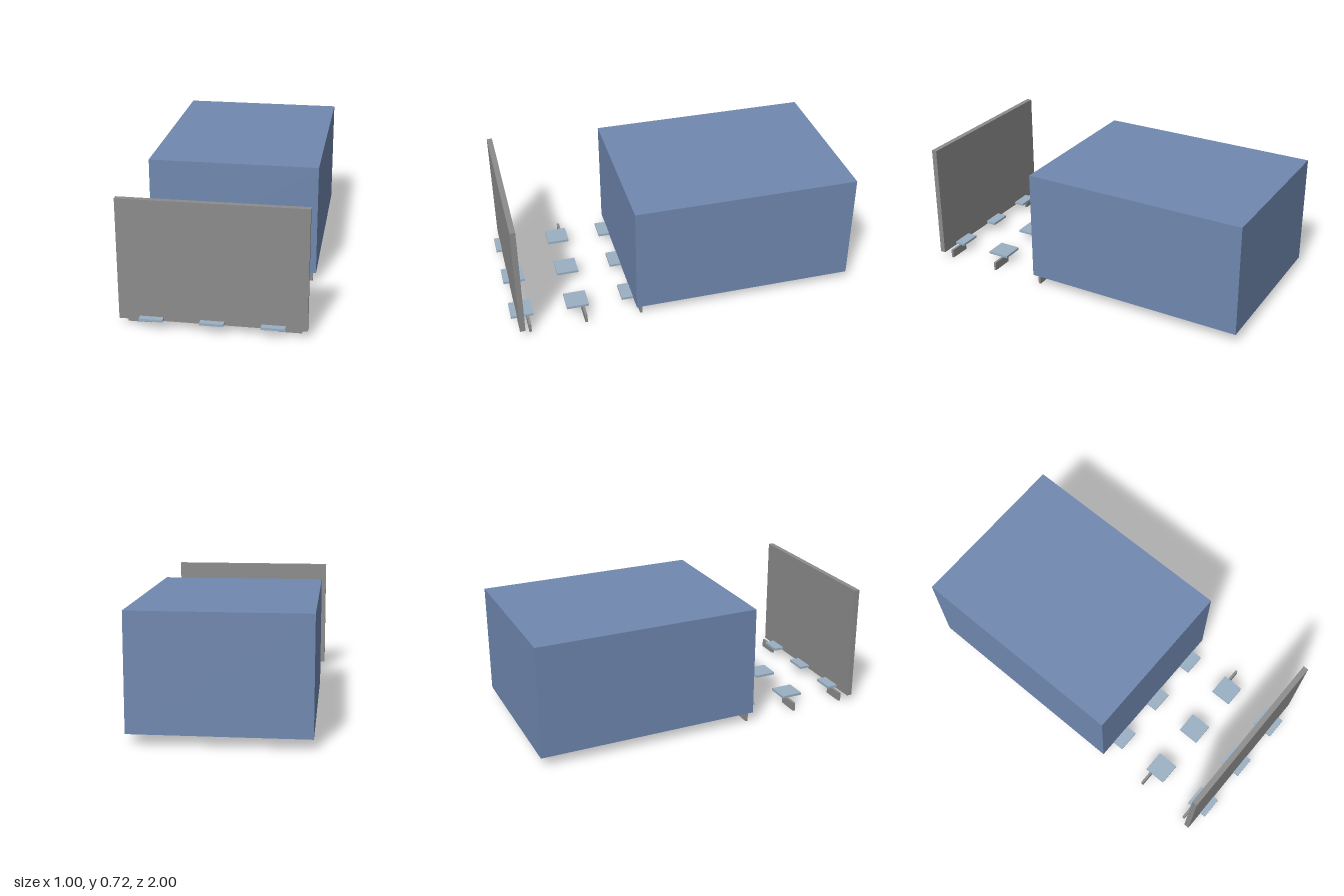
import * as THREE from 'three';

const paint = (name, color) => {
  const material = new THREE.MeshStandardMaterial({ color });
  material.name = name;
  return material;
};

export function createModel() {
  const model = new THREE.Group();
  model.name = 'model';
  const blue = paint('body blue', 0x7088b0);
  const grey = paint('panel grey', 0x8c8c8c);
  const paleBlue = paint('pad pale blue', 0x9ab0c4);
  const brown = paint('plate brown', 0x95683a);

  // Box given by its lower and upper corners
  const addBox = (name, material, [x0, y0, z0], [x1, y1, z1]) => {
    const mesh = new THREE.Mesh(new THREE.BoxGeometry(x1 - x0, y1 - y0, z1 - z0), material);
    mesh.position.set((x0 + x1) / 2, (y0 + y1) / 2, (z0 + z1) / 2);
    mesh.name = name;
    model.add(mesh);
  };

  // Main body and the separate upright panel ahead of it
  addBox('body', blue, [-0.485, 0.06, -1], [0.485, 0.703, 0.29]);
  addBox('frontPanel', grey, [-0.5, 0.043, 0.935], [0.5, 0.72, 0.966]);

  // Thin plate under the body
  addBox('undersidePlate', brown, [-0.097, 0.054, -0.35], [0.097, 0.062, -0.026]);

  // Pads: four rows of three, with a pair of feet beside the front three rows
  for (let row = 0; row < 4; row++) {
    const z = 0.936 - row * 0.322;
    for (const x of [-0.323, 0, 0.323]) {
      addBox('pad', paleBlue, [x - 0.064, 0.051, z - 0.064], [x + 0.064, 0.065, z + 0.064]);
    }
    if (row === 3) continue;
    for (const x of [-0.402, 0.402]) {
      addBox('foot', grey, [x - 0.064, 0, z - 0.039], [x + 0.064, 0.051, z - 0.025]);
    }
  }
  return model;
}
